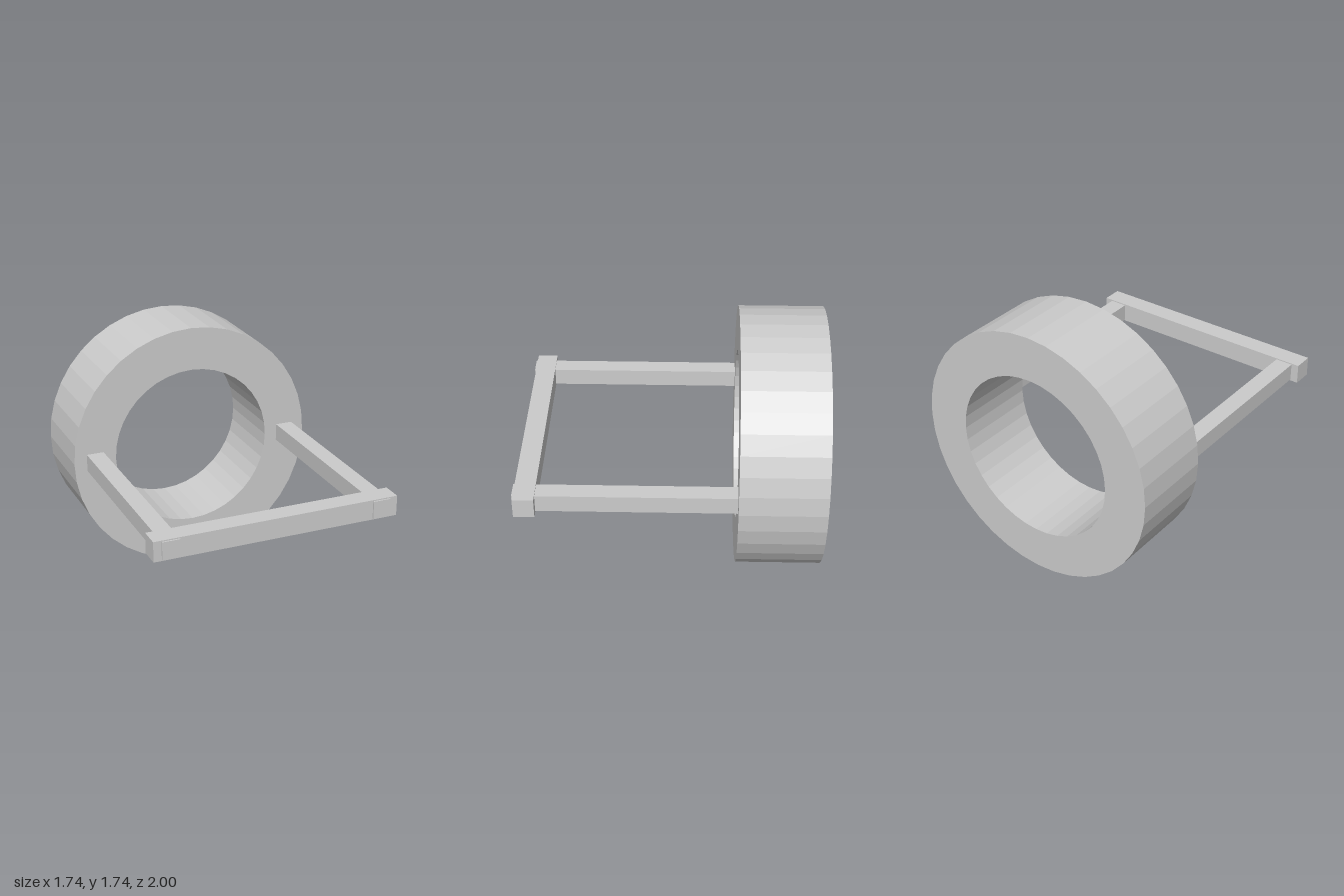
import * as THREE from 'three';

export function createModel() {
  const model = new THREE.Group();
  const material = new THREE.MeshStandardMaterial({ color: 0xcccccc, flatShading: true });
  const centreY = 0.868;

  function add(name, geometry, x, y, z) {
    const mesh = new THREE.Mesh(geometry, material);
    mesh.name = name;
    mesh.position.set(x, y, z);
    model.add(mesh);
  }

  // Thick 40-sided ring, open along z
  const outline = new THREE.Shape().absarc(0, 0, 0.868, 0, Math.PI * 2, false);
  outline.holes.push(new THREE.Path().absarc(0, 0, 0.568, 0, Math.PI * 2, true));
  const ring = new THREE.ExtrudeGeometry(outline, {
    depth: 0.565, bevelEnabled: false, curveSegments: 20,
  });
  add('ring', ring, 0, centreY, -1);

  // Arms reaching forward from the ring, slightly past the crossbar
  const armBack = -0.45, armFront = 1;
  for (const [name, side] of [['leftArm', 1], ['rightArm', -1]]) {
    add(name, new THREE.BoxGeometry(0.12, 0.12, armFront - armBack),
      side * 0.717, centreY, (armFront + armBack) / 2);
  }

  // Crossbar joining the front ends of the arms
  add('crossbar', new THREE.BoxGeometry(1.66, 0.136, 0.136), 0, centreY, 0.922);

  return model;
}
